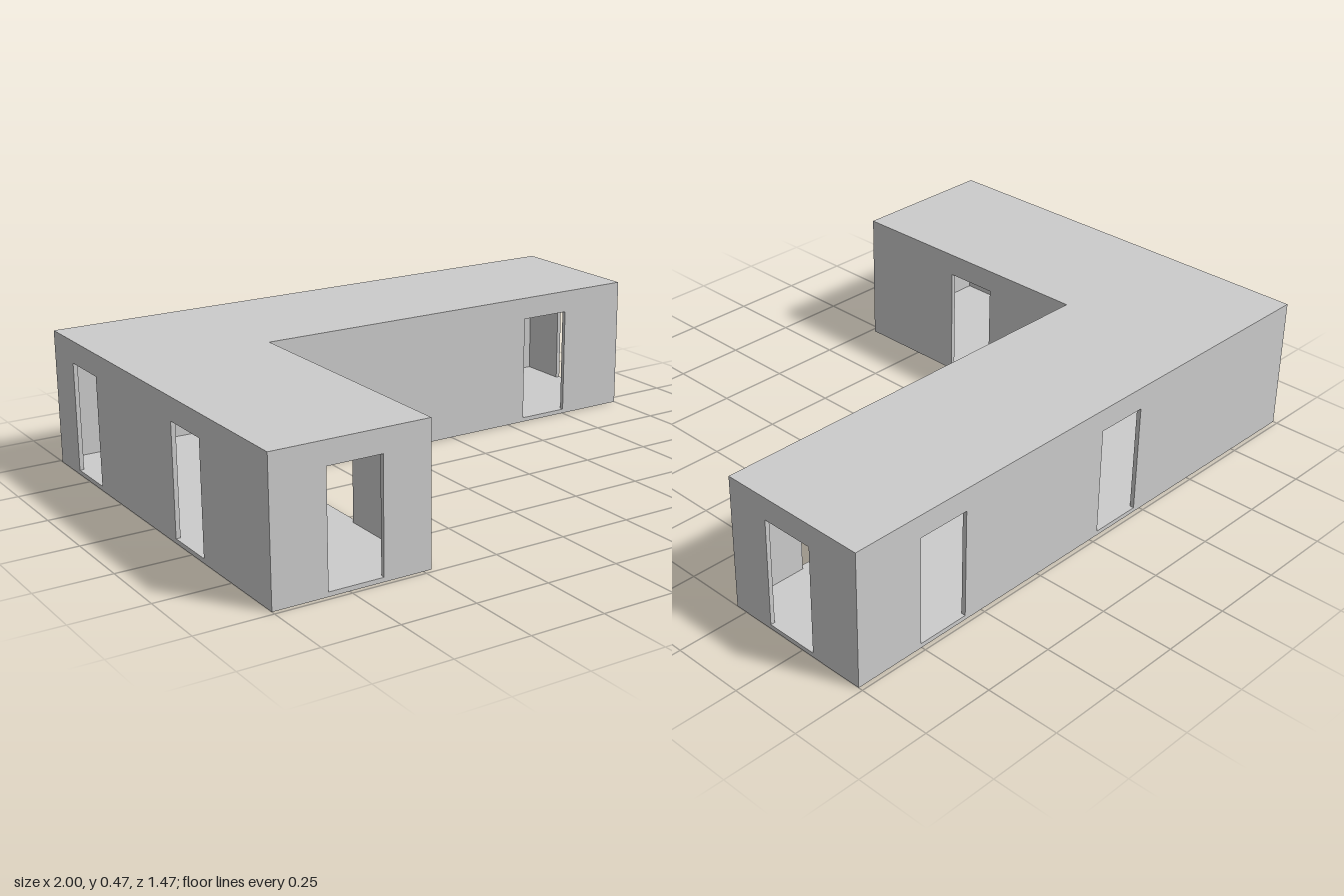
import * as THREE from 'three';

const H = 0.465;       // overall height
const T = 0.015;       // wall, floor and roof thickness
const DOOR_W = 0.184;
const DOOR_TOP = 0.388;
const X = 1, Z = 0.735;              // outer half sizes
const INNER_X = -0.473, INNER_Z = -0.208; // inner corner of the L

const material = new THREE.MeshStandardMaterial({ color: 0xcccccc, flatShading: true });

// L-shaped slab lying flat with its underside at height y
function slab(name, y) {
  const plan = [[-X, -Z], [X, -Z], [X, INNER_Z], [INNER_X, INNER_Z], [INNER_X, Z], [-X, Z]];
  const shape = new THREE.Shape(plan.map(([x, z]) => new THREE.Vector2(x, -z)));
  const geo = new THREE.ExtrudeGeometry(shape, { depth: T, bevelEnabled: false });
  geo.rotateX(-Math.PI / 2);
  const mesh = new THREE.Mesh(geo, material);
  mesh.name = name;
  mesh.position.y = y;
  return mesh;
}

// Wall running from a to b along an axis, with doorways starting at the given positions.
// "at" is the lower z face for x walls and the upper x face for z walls.
function wall(name, axis, a, b, at, doors) {
  const s = new THREE.Shape();
  s.moveTo(a, T);
  for (const d of doors) {
    s.lineTo(d, T);
    s.lineTo(d, DOOR_TOP);
    s.lineTo(d + DOOR_W, DOOR_TOP);
    s.lineTo(d + DOOR_W, T);
  }
  s.lineTo(b, T);
  s.lineTo(b, H - T);
  s.lineTo(a, H - T);
  s.closePath();
  const geo = new THREE.ExtrudeGeometry(s, { depth: T, bevelEnabled: false });
  if (axis === 'z') geo.rotateY(-Math.PI / 2);
  const mesh = new THREE.Mesh(geo, material);
  mesh.name = name;
  if (axis === 'z') mesh.position.x = at;
  else mesh.position.z = at;
  return mesh;
}

export function createModel() {
  const building = new THREE.Group();
  building.name = 'building';
  building.add(
    slab('floor', 0),
    slab('roof', H - T),
    // walls running along x
    wall('backWall', 'x', -X, X, -Z, [-0.22, 0.568]),
    wall('wingEndWall', 'x', -X, INNER_X, Z - T, [-0.819]),
    wall('courtBackWall', 'x', INNER_X, X, INNER_Z - T, [0.568]),
    // walls running along z
    wall('outerSideWall', 'z', -Z + T, Z - T, -X + T, [-0.584, 0.143]),
    wall('courtSideWall', 'z', INNER_Z - T, Z - T, INNER_X, [0.143]),
    wall('mainEndWall', 'z', -Z + T, INNER_Z - T, X, [-0.545]),
  );
  return building;
}
